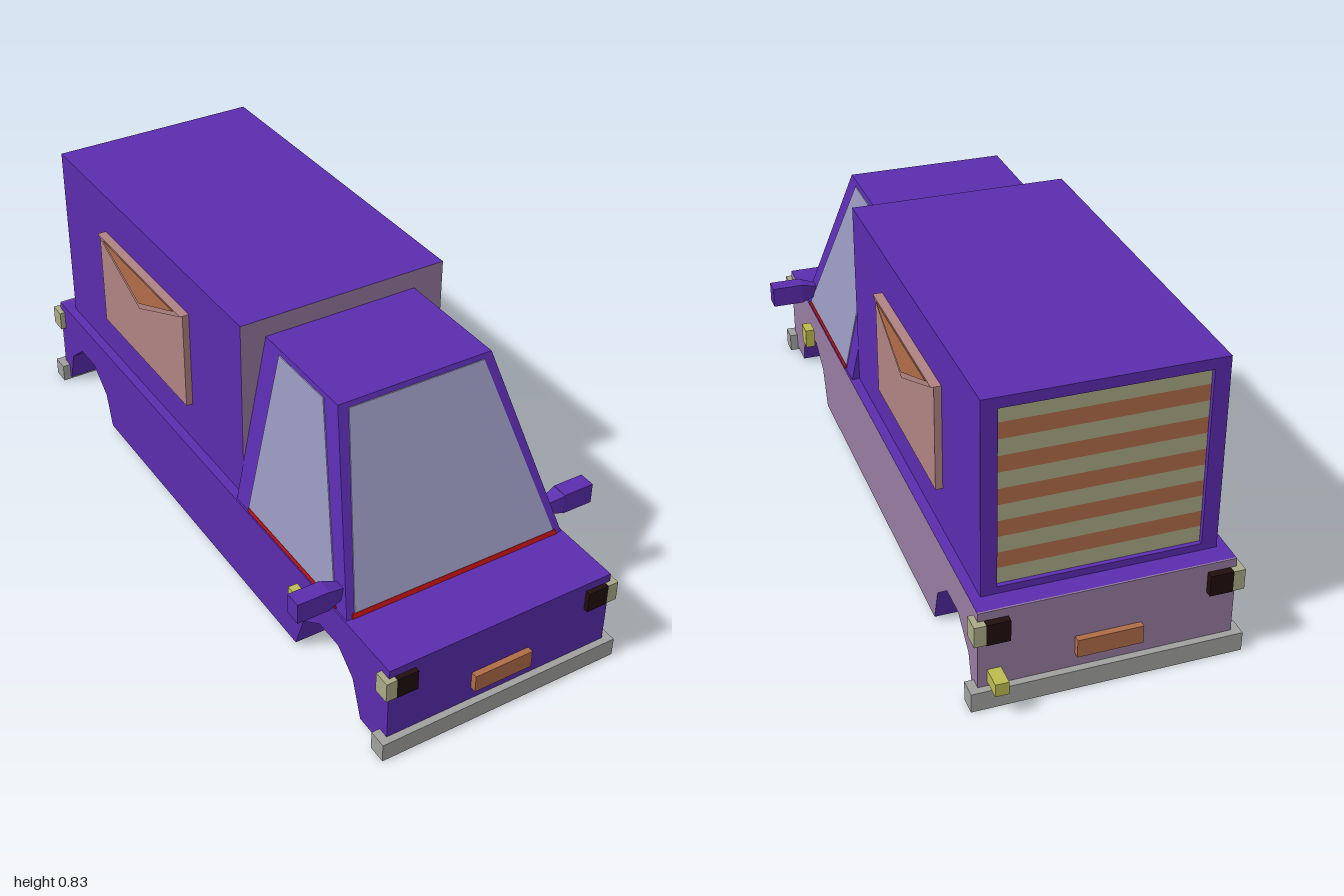
import * as THREE from 'three';

const mat = (name, color) => {
  const m = new THREE.MeshStandardMaterial({ color });
  m.name = name;
  return m;
};

export function createModel() {
  const purple = mat('purple paint', 0x5a2cae);
  const mauve = mat('mauve panel', 0x967ba1);
  const glass = mat('glass', 0x9595bb);
  const pink = mat('dusty pink', 0xb08282);
  const orange = mat('burnt orange', 0xb06c48);
  const khaki = mat('khaki', 0xa9a987);
  const black = mat('dark lamp', 0x200e0c);
  const yellow = mat('yellow lamp', 0xbcba4e);
  const grey = mat('bumper grey', 0xa0a09e);
  const red = mat('red trim', 0xbc1012);

  const root = new THREE.Group();
  root.name = 'deliveryVan';

  const add = (name, geometry, material) => {
    const m = new THREE.Mesh(geometry, material);
    m.name = name;
    root.add(m);
    return m;
  };
  // Box given by its minimum and maximum on each axis
  const box = (name, material, x0, x1, y0, y1, z0, z1) => {
    const g = new THREE.BoxGeometry(x1 - x0, y1 - y0, z1 - z0);
    g.translate((x0 + x1) / 2, (y0 + y1) / 2, (z0 + z1) / 2);
    return add(name, g, material);
  };
  // Six-sided solid: rule maps the corner signs to a position
  const hexa = (name, material, rule) => {
    const g = new THREE.BoxGeometry(2, 2, 2);
    const p = g.attributes.position;
    for (let i = 0; i < p.count; i++) p.setXYZ(i, ...rule(p.getX(i), p.getY(i), p.getZ(i)));
    g.computeVertexNormals();
    return add(name, g, material);
  };
  // Side profile of [z, y] points, extruded from x0 to x1
  const profile = (name, material, points, x0, x1) => {
    const shape = new THREE.Shape(points.map(([z, y]) => new THREE.Vector2(z, y)));
    const g = new THREE.ExtrudeGeometry(shape, { depth: x1 - x0, bevelEnabled: false });
    g.rotateY(-Math.PI / 2).translate(x1, 0, 0);
    return add(name, g, material);
  };

  // Lower body: core whose sides close the wheel wells, plus notched flanks
  box('bodyCore', [khaki, khaki, purple, purple, purple, purple], -0.24, 0.24, 0.01, 0.28, -0.935, 0.98);
  const flank = [
    [-0.935, 0.01], [-0.9, 0.01], [-0.87, 0.11], [-0.79, 0.175], [-0.7, 0.175], [-0.62, 0.11], [-0.59, 0.01],
    [0.54, 0.01], [0.58, 0.12], [0.66, 0.175], [0.75, 0.175], [0.82, 0.12], [0.86, 0.01],
    [0.98, 0.01], [0.98, 0.28], [-0.935, 0.28],
  ];
  profile('leftFlank', [mauve, purple], flank, 0.24, 0.34);
  profile('rightFlank', [purple, purple], flank, -0.34, -0.24);
  box('rearPanel', mauve, -0.34, 0.34, 0.01, 0.28, -0.94, -0.934);

  // Cargo box with a rear frame around the shutter
  box('cargoBox', [purple, purple, purple, purple, mauve, purple], -0.3125, 0.3125, 0.28, 0.83, -0.86, 0.22);
  const frame = new THREE.Shape();
  frame.moveTo(-0.3125, 0.28).lineTo(0.3125, 0.28).lineTo(0.3125, 0.83).lineTo(-0.3125, 0.83).closePath();
  const opening = new THREE.Path();
  opening.moveTo(-0.27, 0.3).lineTo(-0.27, 0.8).lineTo(0.27, 0.8).lineTo(0.27, 0.3).closePath();
  frame.holes.push(opening);
  add('rearFrame', new THREE.ExtrudeGeometry(frame, { depth: 0.02, bevelEnabled: false }).translate(0, 0, -0.88), purple);
  const slats = 11, slatHeight = 0.5 / slats;
  for (let i = 0; i < slats; i++) {
    const top = 0.8 - i * slatHeight;
    box('shutterSlat', i % 2 ? orange : khaki, -0.27, 0.27, top - slatHeight, top, -0.867, -0.858);
  }

  // Cab: sides lean inward and the front leans back
  const lerp = (a, b, y) => a + (b - a) * (y - 0.28) / 0.495;
  const leftX = y => lerp(0.335, 0.222, y);
  const rightX = y => lerp(-0.335, -0.238, y);
  const frontZ = y => lerp(0.78, 0.57, y);
  hexa('cab', purple, (sx, sy, sz) => {
    const y = sy > 0 ? 0.775 : 0.28;
    return [sx > 0 ? leftX(y) : rightX(y), y, sz > 0 ? frontZ(y) : 0.22];
  });

  // Thin plates lying on the sloped cab faces; ends are given low then high
  const frontPlate = (name, material, y0, y1, low, high, t) => hexa(name, material, (sx, sy, sz) => {
    const y = sy > 0 ? y1 : y0, ends = sy > 0 ? high : low;
    return [ends[sx > 0 ? 1 : 0], y, frontZ(y) + sz * t];
  });
  const sidePlate = (name, material, side, y0, y1, low, high, t) => hexa(name, material, (sx, sy, sz) => {
    const y = sy > 0 ? y1 : y0, ends = sy > 0 ? high : low;
    return [(side > 0 ? leftX(y) : rightX(y)) + sx * t, y, ends[sz > 0 ? 1 : 0]];
  });
  frontPlate('windshield', glass, 0.291, 0.762, [-0.31, 0.31], [-0.21, 0.195], 0.003);
  frontPlate('windshieldTrim', red, 0.281, 0.293, [-0.32, 0.32], [-0.315, 0.315], 0.004);

  for (const s of [1, -1]) {
    const side = s > 0 ? 'left' : 'right';
    const span = (a, b) => (s > 0 ? [a, b] : [-b, -a]);

    // Side window and its trim
    sidePlate(side + 'Window', glass, s, 0.29, 0.762, [0.285, 0.725], [0.295, 0.51], 0.003);
    sidePlate(side + 'WindowTrim', red, s, 0.283, 0.294, [0.285, 0.73], [0.285, 0.725], 0.004);

    // Mirror with tapered arm
    box(side + 'Mirror', purple, ...span(0.365, 0.458), 0.305, 0.366, 0.7, 0.748);
    hexa(side + 'MirrorArm', purple, (sx, sy, sz) => {
      const outer = sx * s > 0;
      return [s * (outer ? 0.366 : 0.315), 0.335 + sy * (outer ? 0.03 : 0.015), 0.724 + sz * (outer ? 0.024 : 0.015)];
    });

    // Envelope panel with a raised flap
    const layer = (name, m, pts, a, b) => profile(side + name, m, pts, ...span(a, b));
    layer('EnvelopePanel', pink, [[-0.59, 0.408], [-0.07, 0.408], [-0.07, 0.706], [-0.59, 0.706]], 0.31, 0.332);
    layer('EnvelopeFlap', pink, [[-0.59, 0.706], [-0.33, 0.59], [-0.07, 0.706]], 0.33, 0.339);
    layer('EnvelopeFlapFace', orange, [[-0.55, 0.702], [-0.33, 0.608], [-0.11, 0.702]], 0.338, 0.341);

    // Side marker
    box(side + 'SideMarker', yellow, ...span(0.361, 0.388), 0.207, 0.265, 0.583, 0.633);

    // Head and tail lamps with corner lamps
    box(side + 'HeadLamp', black, ...span(0.262, 0.325), 0.195, 0.256, 0.96, 0.994);
    box(side + 'FrontCornerLamp', khaki, ...span(0.325, 0.356), 0.197, 0.256, 0.947, 0.994);
    box(side + 'TailLamp', black, ...span(0.262, 0.325), 0.195, 0.256, -0.96, -0.92);
    box(side + 'RearCornerLamp', khaki, ...span(0.325, 0.356), 0.197, 0.256, -0.96, -0.91);
  }

  // Bumpers, blank plates and the tail pipe
  box('frontBumper', grey, -0.364, 0.364, 0, 0.055, 0.948, 1);
  box('rearBumper', grey, -0.364, 0.364, 0, 0.055, -0.96, -0.908);
  box('frontPlate', orange, -0.088, 0.088, 0.095, 0.147, 0.97, 0.998);
  box('rearPlate', orange, -0.088, 0.088, 0.095, 0.147, -0.958, -0.93);
  box('tailPipe', yellow, 0.28, 0.316, 0.068, 0.105, -1, -0.93);

  return root;
}
